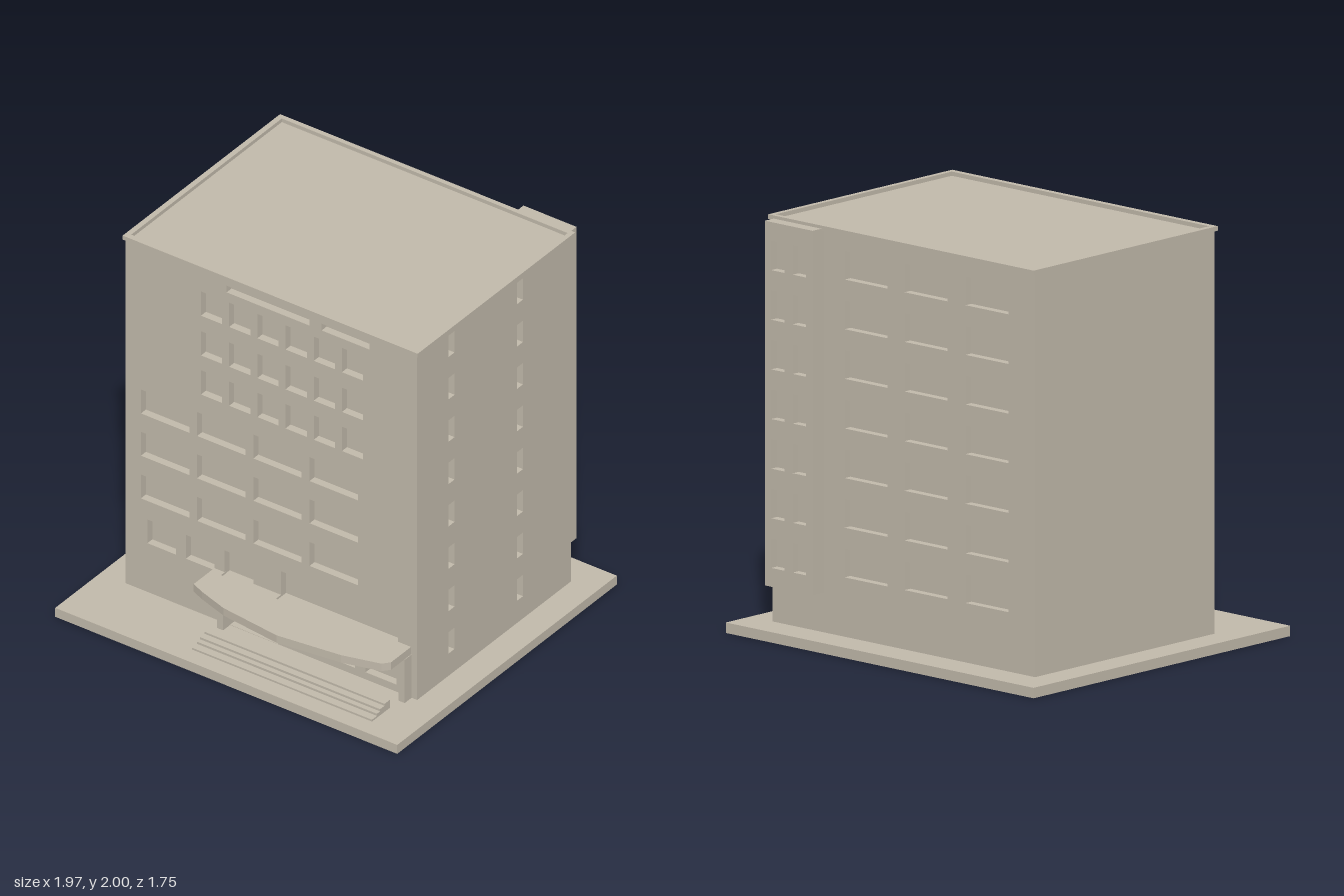
import * as THREE from 'three';

const DEPTH = 0.04; // depth of the window reveals
const PITCH = 0.2375; // storey spacing

export function createModel() {
  const model = new THREE.Group();
  model.name = 'officeBlock';
  const stone = new THREE.MeshStandardMaterial({ color: 0xc2baab });
  stone.name = 'warm stone';

  function add(name, geometry) {
    const mesh = new THREE.Mesh(geometry, stone);
    mesh.name = name;
    model.add(mesh);
    return mesh;
  }

  // Box given by its limits on each axis
  function block(name, x0, x1, y0, y1, z0, z1) {
    const g = new THREE.BoxGeometry(x1 - x0, y1 - y0, z1 - z0);
    g.translate((x0 + x1) / 2, (y0 + y1) / 2, (z0 + z1) / 2);
    return add(name, g);
  }

  function rectPoints([u0, u1, v0, v1]) {
    return [[u0, v0], [u1, v0], [u1, v1], [u0, v1]].map(([u, v]) => new THREE.Vector2(u, v));
  }

  // Wall slab pierced by rectangular openings, rotated to its side of the building
  function wall(name, outline, openings, face, angle) {
    const shape = new THREE.Shape(rectPoints(outline));
    openings.forEach((o) => shape.holes.push(new THREE.Path(rectPoints(o))));
    const g = new THREE.ExtrudeGeometry(shape, { depth: DEPTH, bevelEnabled: false });
    g.translate(0, 0, face - DEPTH);
    g.rotateY(angle);
    return add(name, g);
  }

  // Horizontal slab from an (x, z) outline
  function slab(name, points, y0, y1, hole) {
    const shape = new THREE.Shape(points.map(([x, z]) => new THREE.Vector2(x, -z)));
    if (hole) shape.holes.push(new THREE.Path(hole.map(([x, z]) => new THREE.Vector2(x, -z))));
    const g = new THREE.ExtrudeGeometry(shape, { depth: y1 - y0, bevelEnabled: false });
    g.rotateX(-Math.PI / 2);
    g.translate(0, y0, 0);
    return add(name, g);
  }

  // Ground plate and solid core
  block('groundPlate', -0.985, 0.98, 0, 0.05, -0.875, 0.875);
  block('core', -0.84, 0.835 - DEPTH, 0.05, 1.98, -0.67, 0.475);

  // Front openings
  const front = [
    [-0.26, 0.217, 1.907, 1.945],
    [0.286, 0.56, 1.907, 1.945],
    [0.053, 0.724, 0.323, 0.466],
    [-0.24, 0.035, 0.052, 0.295],
  ];
  for (const top of [1.855, 1.632, 1.413]) {
    for (let c = 0; c < 6; c++) {
      const x = -0.407 + c * 0.162;
      front.push([x, x + 0.122, top - 0.136, top]);
    }
  }
  for (const top of [1.17, 0.933, 0.694]) {
    for (let c = 0; c < 4; c++) {
      const x = -0.752 + c * 0.323;
      front.push([x, x + 0.278, top - 0.134, top]);
    }
  }
  for (let c = 0; c < 3; c++) {
    const x = -0.715 + c * 0.222;
    front.push([x, x + 0.165, 0.323, 0.456]);
    const e = 0.063 + c * 0.238;
    front.push([e, e + 0.177, 0.09, 0.26]);
  }
  wall('frontWall', [-0.84, 0.835, 0.05, 1.98], front, 0.515, 0);

  // Narrow slits on the right-hand wall
  const slits = [];
  for (let r = 0; r < 8; r++) {
    const top = 1.957 - r * PITCH;
    for (const u of [-0.265, 0.28]) slits.push([u, u + 0.048, top - 0.12, top]);
  }
  wall('slitWall', [-0.475, 0.67, 0.05, 1.98], slits, 0.835, Math.PI / 2);

  // Back wall and stair tower windows
  const back = [];
  const tower = [];
  for (let r = 0; r < 7; r++) {
    const top = 1.897 - r * PITCH;
    for (const u of [-0.376, 0.006, 0.396]) back.push([u, u + 0.275, top - 0.138, top]);
    for (const u of [-0.77, -0.632]) tower.push([u, u + 0.085, top - 0.142, top]);
  }
  wall('backWall', [-0.835, 0.84, 0.05, 1.98], back, 0.71, Math.PI);
  wall('towerWall', [-0.81, -0.505, 0.24, 1.985], tower, 0.79, Math.PI);
  block('towerCore', 0.505, 0.81, 0.24, 1.985, -0.75, -0.705);

  // Roof rim
  slab('roofRim',
    [[-0.85, 0.525], [0.845, 0.525], [0.845, -0.73], [-0.85, -0.73]], 1.978, 2,
    [[-0.822, 0.495], [0.82, 0.495], [0.82, -0.705], [-0.822, -0.705]]);

  // Bowed entrance canopy, its top notched below the openings above it
  const bow = [[0.8, 0.675], [0.77, 0.71], [0.575, 0.762], [0.235, 0.803],
    [-0.1, 0.762], [-0.26, 0.71], [-0.33, 0.68]];
  const notches = [[-0.33, 0.51], [-0.27, 0.51], [-0.27, 0.545], [-0.105, 0.545], [-0.105, 0.51],
    [0.053, 0.51], [0.053, 0.555], [0.724, 0.555], [0.724, 0.51], [0.8, 0.51]];
  slab('canopy', [[-0.33, 0.51], [0.8, 0.51], ...bow], 0.292, 0.323);
  slab('canopyTop', [...notches, ...bow], 0.323, 0.334);

  // Canopy posts
  block('canopyPost', -0.275, -0.24, 0.05, 0.292, 0.51, 0.57);
  block('canopyPost', 0.768, 0.803, 0.05, 0.292, 0.51, 0.57);

  // Entrance steps
  [[0.785, 0.06], [0.745, 0.072], [0.72, 0.084], [0.685, 0.095]].forEach(([z, y], i) =>
    block('step' + (i + 1), -0.265, 0.77, i ? 0.06 + (i - 1) * 0.012 : 0.05, y, 0.64, z));

  return model;
}
